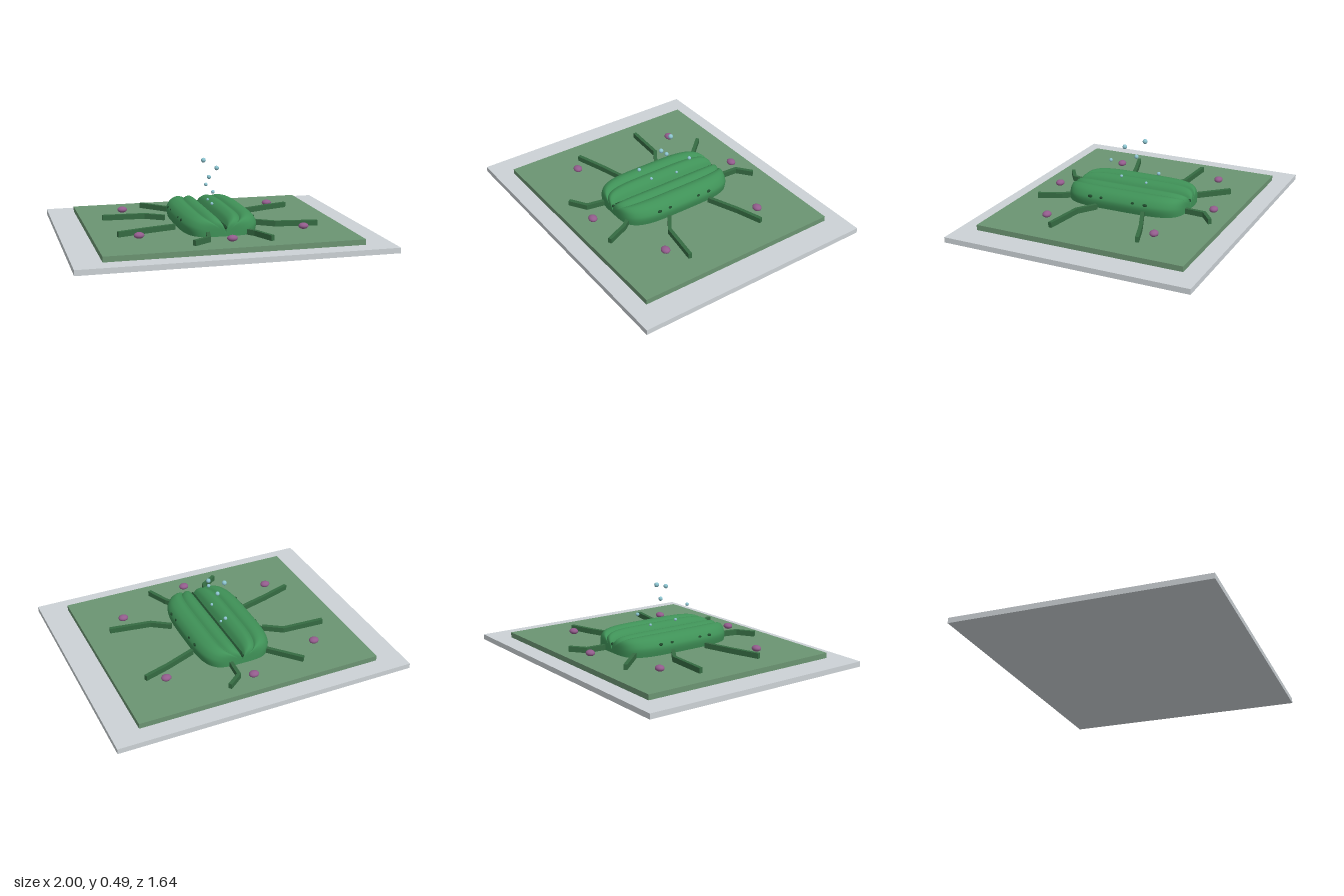
import * as THREE from 'three';

const mat = (color) => new THREE.MeshStandardMaterial({ color });
const GROUND = 0.07; // top of the green plate

function add(parent, name, geometry, material, x = 0, y = 0, z = 0) {
  const mesh = new THREE.Mesh(geometry, material);
  mesh.name = name;
  mesh.position.set(x, y, z);
  parent.add(mesh);
  return mesh;
}

// Flat strip of constant width following a bent line in the x/z plane, mitred at the bends
function stripGeometry(line, width, height) {
  const pts = line.map(([x, z]) => new THREE.Vector2(x, -z));
  const left = [], right = [];
  pts.forEach((p, i) => {
    const before = pts[Math.max(i - 1, 0)], after = pts[Math.min(i + 1, pts.length - 1)];
    const d1 = (i ? p.clone().sub(before) : after.clone().sub(p)).normalize();
    const d2 = (i < pts.length - 1 ? after.clone().sub(p) : d1.clone()).normalize();
    const dir = d1.clone().add(d2).normalize();
    const off = new THREE.Vector2(-dir.y, dir.x).multiplyScalar(width / 2 / dir.dot(d1));
    left.push(p.clone().add(off));
    right.unshift(p.clone().sub(off));
  });
  const g = new THREE.ExtrudeGeometry(new THREE.Shape([...left, ...right]), { depth: height, bevelEnabled: false });
  return g.rotateX(-Math.PI / 2);
}

// Lobed body: one ribbed cross-section swept along z, narrowing and sinking towards both ends
function bodyGeometry() {
  const v = (x, y) => new THREE.Vector2(x, y);
  const path = new THREE.Path();
  path.moveTo(0, 0.115);
  path.splineThru([v(0.012, 0.14), v(0.035, 0.172), v(0.07, 0.19), v(0.1, 0.186), v(0.122, 0.172)]);
  path.splineThru([v(0.145, 0.187), v(0.18, 0.19), v(0.22, 0.172), v(0.245, 0.14), v(0.25, 0.11), v(0.24, 0.065)]);
  const half = path.getPoints(5);
  const section = [...half.slice(1).reverse().map((p) => v(-p.x, p.y)), ...half];

  const rows = 48, cols = section.length, length = 0.41;
  const positions = [], index = [];
  for (let i = 0; i <= rows; i++) {
    const u = (i / rows) * 2 - 1;
    const t = 1 - Math.pow(1 - Math.abs(u), 4);
    const wide = Math.pow(Math.max(0, 1 - t ** 4), 1 / 4);
    const high = Math.pow(Math.max(0, 1 - t ** 6), 1 / 6);
    for (const p of section) {
      const y = p.y > GROUND ? GROUND + (p.y - GROUND) * high : p.y;
      positions.push(p.x * wide, y, Math.sign(u) * t * length);
    }
  }
  for (let i = 0; i < rows; i++) {
    for (let j = 0; j < cols - 1; j++) {
      const a = i * cols + j, b = a + cols;
      index.push(a, b, a + 1, b, b + 1, a + 1);
    }
  }
  const g = new THREE.BufferGeometry();
  g.setAttribute('position', new THREE.Float32BufferAttribute(positions, 3));
  g.setIndex(index);
  g.computeVertexNormals();
  return g;
}

export function createModel() {
  const model = new THREE.Group();
  model.name = 'model';
  const bodyGreen = mat(0x3f9157), legGreen = mat(0x356b42), dark = mat(0x1f4a2c);
  const purple = mat(0x925c8c), blue = mat(0x8cc4d0);

  // Stacked plates
  add(model, 'basePlate', new THREE.BoxGeometry(2, 0.035, 1.64), mat(0xccd2d6), 0, 0.0175, 0);
  add(model, 'greenPlate', new THREE.BoxGeometry(1.64, 0.035, 1.4), mat(0x6b9472), 0, 0.0525, 0);

  // Body with the dark seam in its central groove
  const body = add(model, 'body', bodyGeometry(), bodyGreen);
  body.material.side = THREE.DoubleSide;
  add(model, 'centreSeam', new THREE.BoxGeometry(0.022, 0.05, 0.76), dark, 0, 0.107, 0);
  for (const z of [-0.4, 0.4]) {
    add(model, 'seamBead', new THREE.SphereGeometry(0.011, 12, 8), dark, 0, 0.125, z);
  }

  // Dark spots along both flanks
  for (const side of [-1, 1]) {
    for (const z of [-0.19, -0.105, 0.12, 0.2]) {
      const spot = add(model, 'sideSpot', new THREE.SphereGeometry(0.018, 16, 10), dark, side * 0.236, 0.14, z);
      spot.scale.set(0.6, 0.6, 1);
    }
  }

  // Bent strips spreading from the body
  const branches = [
    [[-0.365, -0.55], [-0.19, -0.36], [-0.15, -0.32]],
    [[0.08, -0.38], [0.09, -0.54], [0.185, -0.615]],
    [[-0.685, -0.22], [-0.4, -0.205], [-0.28, -0.125]],
    [[0.255, -0.182], [0.46, -0.265], [0.63, -0.32]],
    [[-0.66, 0.265], [-0.46, 0.2], [-0.27, 0.147]],
    [[0.265, 0.143], [0.385, 0.225], [0.66, 0.265]],
    [[-0.11, 0.38], [-0.138, 0.52], [-0.245, 0.59]],
    [[0.14, 0.38], [0.185, 0.44], [0.25, 0.59]],
  ];
  for (const line of branches) add(model, 'branch', stripGeometry(line, 0.024, 0.035), legGreen, 0, GROUND, 0);

  // Purple pebbles around the body
  const pebbles = [[0, -0.57], [-0.52, -0.405], [0.515, -0.38], [-0.54, 0.348], [0.53, 0.36], [0, 0.56]];
  for (const [x, z] of pebbles) {
    add(model, 'pebble', new THREE.SphereGeometry(1, 24, 16), purple, x, 0.095, z).scale.set(0.033, 0.02, 0.028);
  }

  // Rising bubbles: x, y, z, radius
  const bubbles = [
    [-0.025, 0.475, -0.07, 0.016], [0.035, 0.44, 0.048, 0.015], [0, 0.37, -0.02, 0.014],
    [-0.025, 0.31, 0.18, 0.012], [0.022, 0.286, -0.19, 0.012], [-0.01, 0.214, 0.095, 0.01],
    [0.01, 0.202, -0.095, 0.009],
  ];
  for (const [x, y, z, r] of bubbles) add(model, 'bubble', new THREE.SphereGeometry(r, 16, 12), blue, x, y, z);

  return model;
}
